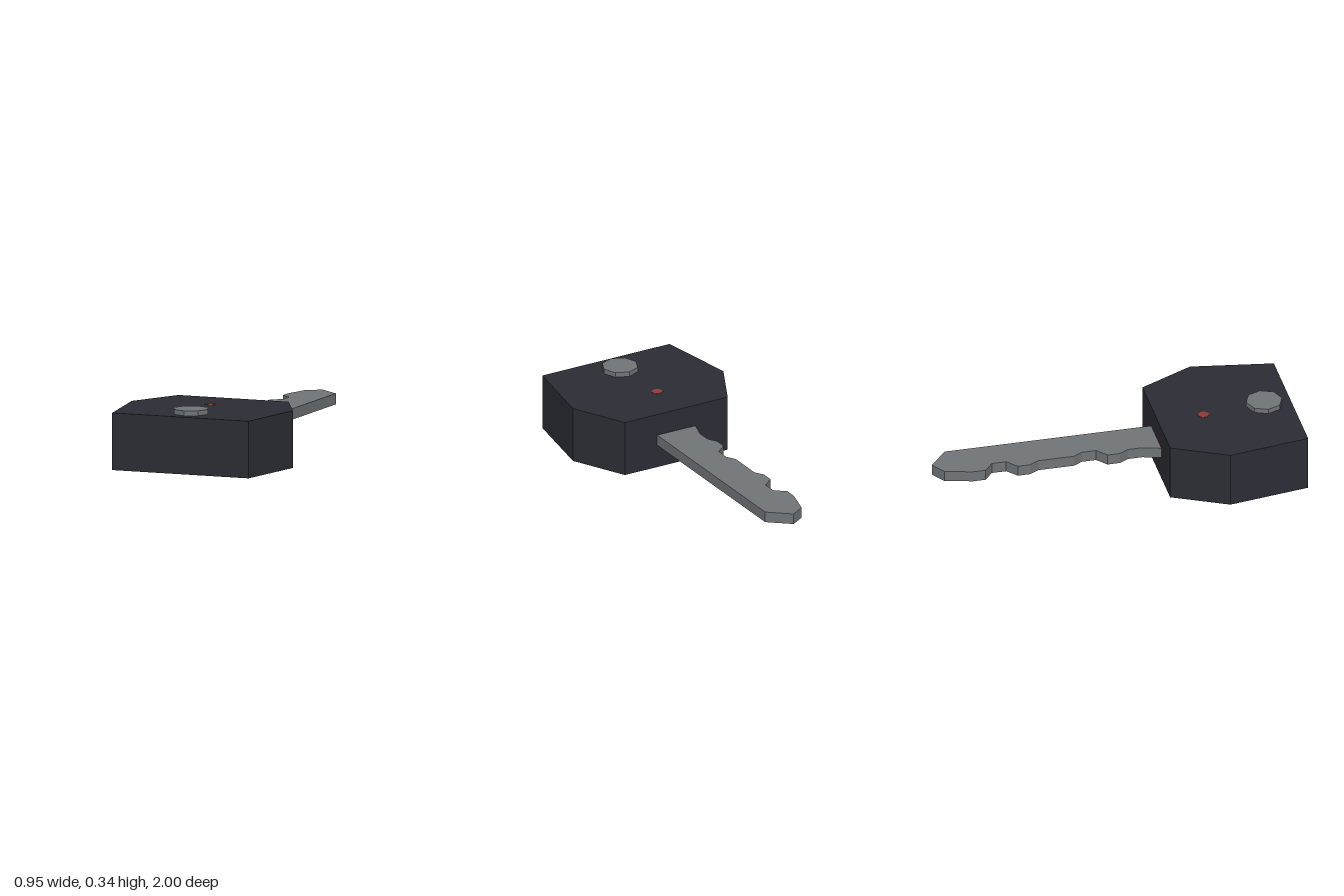
import * as THREE from 'three';

const material = (name, color) => {
  const m = new THREE.MeshStandardMaterial({ color, flatShading: true });
  m.name = name;
  return m;
};

// Extrude a plan outline of [x, z] points upward from y0 to y1
function slab(name, outline, y0, y1, mat) {
  const shape = new THREE.Shape(outline.map(([x, z]) => new THREE.Vector2(x, -z)));
  const geometry = new THREE.ExtrudeGeometry(shape, { depth: y1 - y0, bevelEnabled: false });
  geometry.rotateX(-Math.PI / 2).translate(0, y0, 0);
  const mesh = new THREE.Mesh(geometry, mat);
  mesh.name = name;
  return mesh;
}

// Eight-sided disc standing on the head
function disc(name, radius, height, x, y, z, mat, turn = 0) {
  const mesh = new THREE.Mesh(new THREE.CylinderGeometry(radius, radius, height, 8), mat);
  mesh.position.set(x, y + height / 2, z);
  mesh.rotation.y = turn;
  mesh.name = name;
  return mesh;
}

export function createModel() {
  const plastic = material('dark plastic', 0x2c2c35);
  const metal = material('grey metal', 0x707477);
  const red = material('red light', 0x933a33);

  const group = new THREE.Group();
  group.name = 'key';
  const top = 0.313;

  // Six-sided plastic head
  const half = [[0.4, 1], [0.473, 0.55], [0.323, 0.25]];
  const mirrored = half.map(([x, z]) => [-x, z]).reverse();
  group.add(slab('head', [...half, ...mirrored], 0, top, plastic));

  // Notched blade, running slightly into the head
  const blade = [
    [0.12, 0.3], [0.12, -0.9], [0, -1], [-0.08, -0.95], [-0.12, -0.8], [-0.12, -0.73],
    [-0.06, -0.68], [-0.06, -0.6], [-0.12, -0.55], [-0.12, -0.48], [-0.09, -0.43],
    [-0.09, -0.23], [-0.06, -0.18], [-0.06, -0.1], [-0.12, -0.05], [-0.12, 0.02],
    [-0.09, 0.07], [-0.09, 0.15], [-0.12, 0.25], [-0.12, 0.3],
  ];
  group.add(slab('blade', blade, 0.13, 0.19, metal));

  // Button and indicator light on the head
  group.add(disc('button', 0.1, 0.027, 0, top, 0.85, metal));
  group.add(disc('indicatorLight', 0.031, 0.002, -0.03, top, 0.505, red, Math.PI / 8));

  return group;
}
